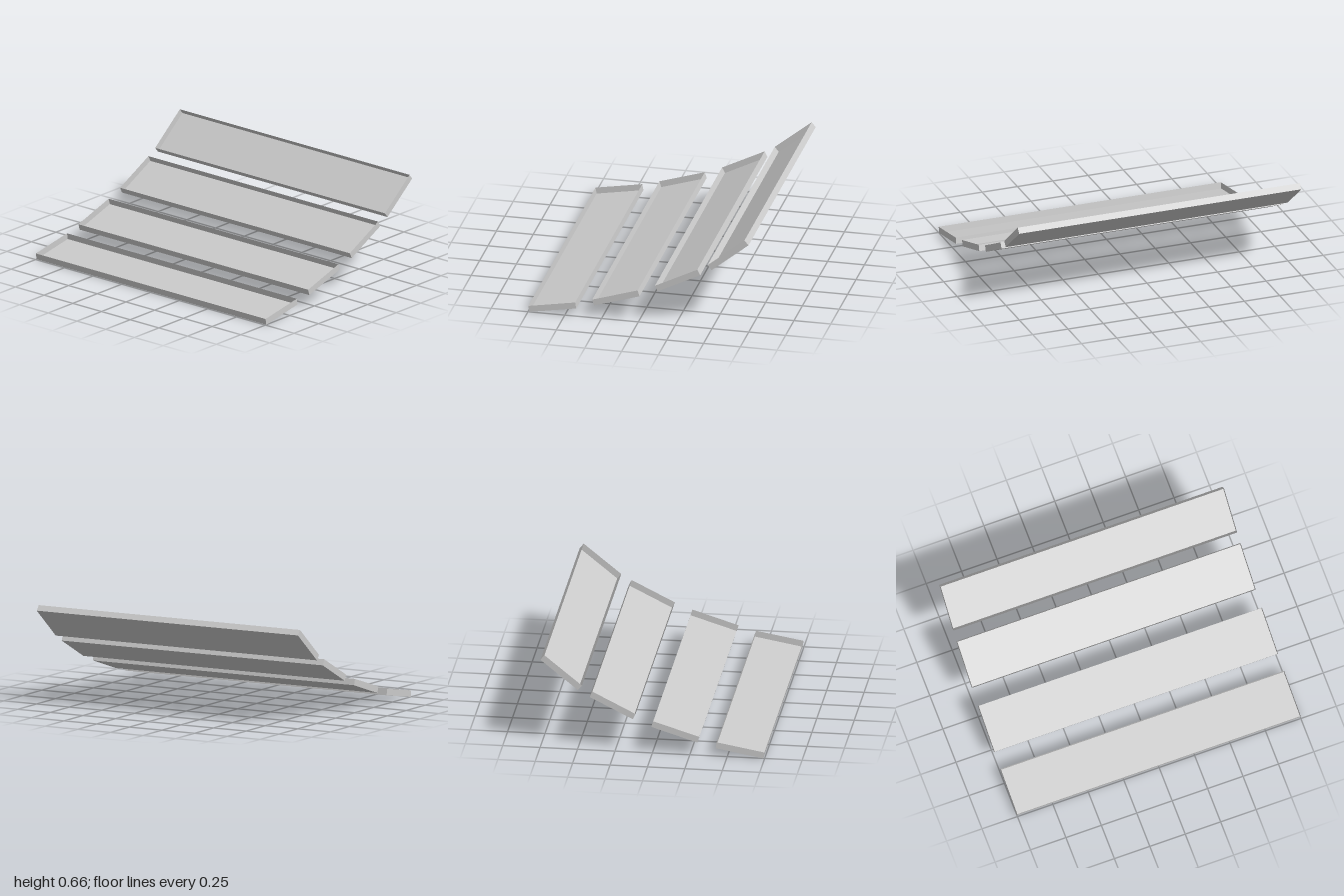
import * as THREE from 'three';

const LENGTH = 2, DEPTH = 0.323, HEIGHT = 0.043;

// Thin-walled tray: a box with its top face left out
function trayGeometry() {
  const geometry = new THREE.BoxGeometry(LENGTH, HEIGHT, DEPTH);
  const faces = Array.from(geometry.index.array);
  faces.splice(12, 6); // the +y face
  geometry.setIndex(faces);
  geometry.clearGroups();
  return geometry;
}

export function createModel() {
  const model = new THREE.Group();
  model.name = 'steppedTrays';
  const material = new THREE.MeshStandardMaterial({ color: 0xcccccc, side: THREE.DoubleSide });
  const geometry = trayGeometry();

  // Four trays climbing to the back, each tilted more steeply: y, z, tilt in degrees
  const trays = [
    [0.05, 0.585, 10],
    [0.159, 0.153, 17.3],
    [0.326, -0.266, 26.6],
    [0.542, -0.609, 39],
  ];
  trays.forEach(([y, z, tilt], i) => {
    const tray = new THREE.Mesh(geometry, material);
    tray.name = `tray${i + 1}`;
    tray.position.set(0, y, z);
    tray.rotation.x = THREE.MathUtils.degToRad(tilt);
    model.add(tray);
  });
  return model;
}
